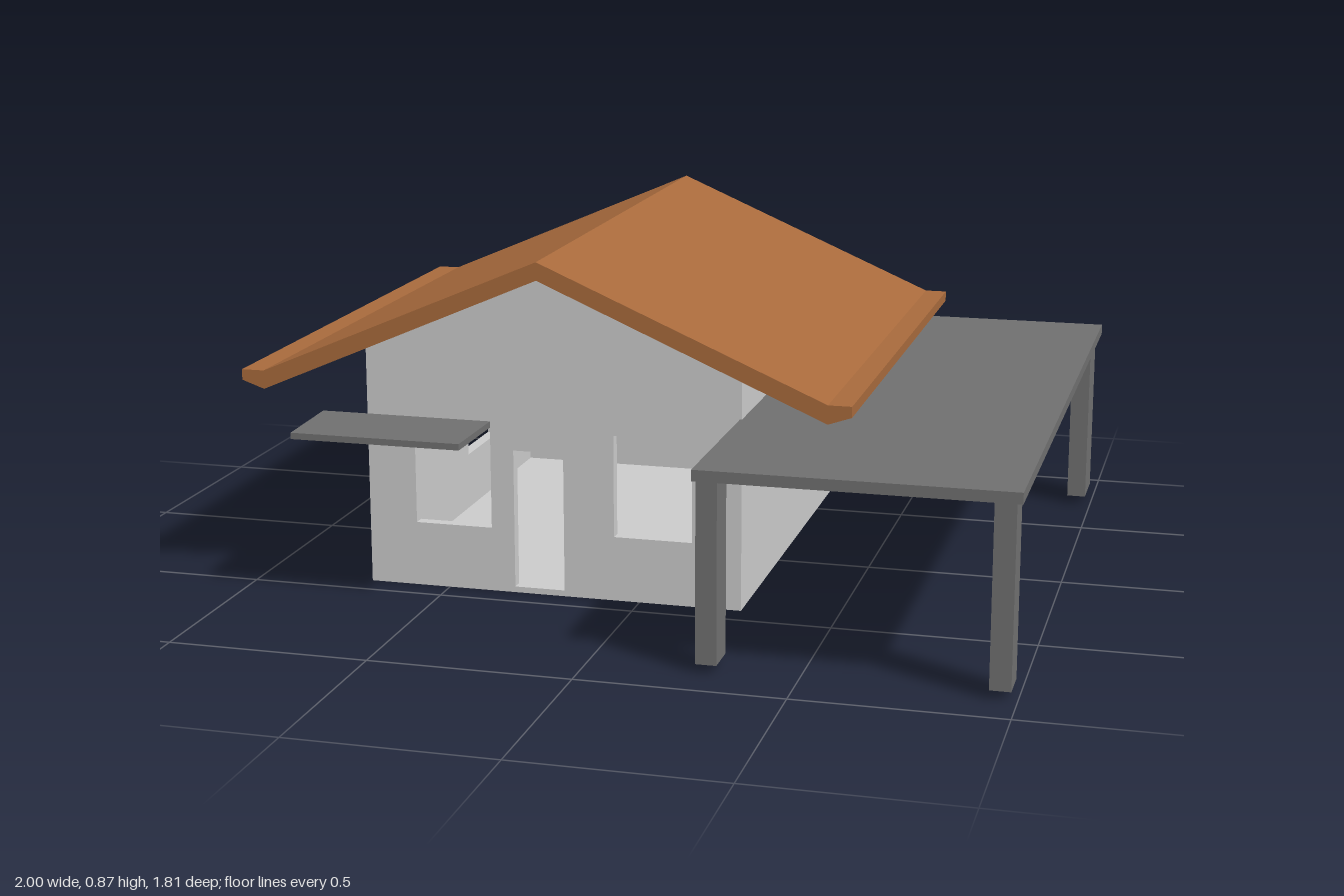
import * as THREE from 'three';

const material = (color) => new THREE.MeshStandardMaterial({ color });
const polygon = (points) => new THREE.Shape(points.map(([x, y]) => new THREE.Vector2(x, y)));

// Rectangular hole given by its two corners
function opening(x0, x1, y0, y1) {
  return new THREE.Path([[x0, y0], [x0, y1], [x1, y1], [x1, y0]].map(([x, y]) => new THREE.Vector2(x, y)));
}

const extrude = (shape, depth) => new THREE.ExtrudeGeometry(shape, { depth, bevelEnabled: false });

export function createModel() {
  const model = new THREE.Group();
  const wallMat = material(0xcccccc);
  const roofMat = material(0xa86a3c);
  const darkMat = material(0x707070);

  const add = (name, geometry, mat) => {
    const mesh = new THREE.Mesh(geometry, mat);
    mesh.name = name;
    model.add(mesh);
    return mesh;
  };
  // Box given by its extents on each axis
  const box = (name, [x0, x1], [y0, y1], [z0, z1], mat) => {
    const mesh = add(name, new THREE.BoxGeometry(x1 - x0, y1 - y0, z1 - z0), mat);
    mesh.position.set((x0 + x1) / 2, (y0 + y1) / 2, (z0 + z1) / 2);
  };

  const left = 0.26, right = -0.71, front = 0.43, back = -0.81;
  const ridge = -0.225, eave = 0.61, peak = 0.825, thick = 0.03;

  // Gable walls; the front one has a door and two windows
  const gable = () => polygon([[right, 0], [left, 0], [left, eave], [ridge, peak], [right, eave]]);
  const frontShape = gable();
  frontShape.holes.push(
    opening(-0.585, -0.385, 0.165, 0.425),
    opening(-0.325, -0.195, 0.015, 0.37),
    opening(-0.065, 0.135, 0.165, 0.425),
  );
  add('frontWall', extrude(frontShape, thick), wallMat).position.z = front - thick;
  add('backWall', extrude(gable(), thick), wallMat).position.z = back;

  // Side walls, each with one window
  const sideShape = polygon([
    [back + thick, 0], [front - thick, 0], [front - thick, eave], [back + thick, eave],
  ]);
  sideShape.holes.push(opening(-0.48, -0.23, 0.165, 0.37));
  const sideGeometry = extrude(sideShape, thick).rotateY(-Math.PI / 2);
  add('leftWall', sideGeometry, wallMat).position.x = left;
  add('rightWall', sideGeometry, wallMat).position.x = right + thick;

  box('floor', [right + thick, left - thick], [0, 0.012], [back + thick, front - thick], wallMat);

  // Roof: symmetric section with flattened eaves
  const halfTop = [[0, 0.87], [0.717, 0.562], [0.775, 0.562]];
  const halfBottom = [[0.775, 0.535], [0.717, 0.515], [0, 0.825]];
  const half = [...halfTop, ...halfBottom];
  const mirrored = half.slice(1, -1).reverse().map(([x, y]) => [-x, y]);
  const section = [...half, ...mirrored].map(([x, y]) => [x + ridge, y]);
  add('roof', extrude(polygon(section), 1.435), roofMat).position.z = -0.9;

  // Awning over the front window
  const awning = polygon([[-0.83, -0.43], [-0.82, -0.66], [-0.385, -0.66], [-0.385, -0.43]]);
  add('awning', extrude(awning, 0.016).rotateX(-Math.PI / 2), darkMat).position.y = 0.425;

  // Strip on the right wall
  box('wallStrip', [-0.735, right], [0, 0.6], [0.31, 0.355], wallMat);

  // Carport slab on three posts
  box('carportRoof', [0.255, 1], [0.46, 0.487], [-0.905, 0.905], darkMat);
  const posts = [[0.26, 0.795, 0.885], [0.935, 0.795, 0.885], [0.935, -0.885, -0.745]];
  for (const [x, z0, z1] of posts) box('carportPost', [x, x + 0.05], [0.02, 0.46], [z0, z1], darkMat);

  return model;
}
